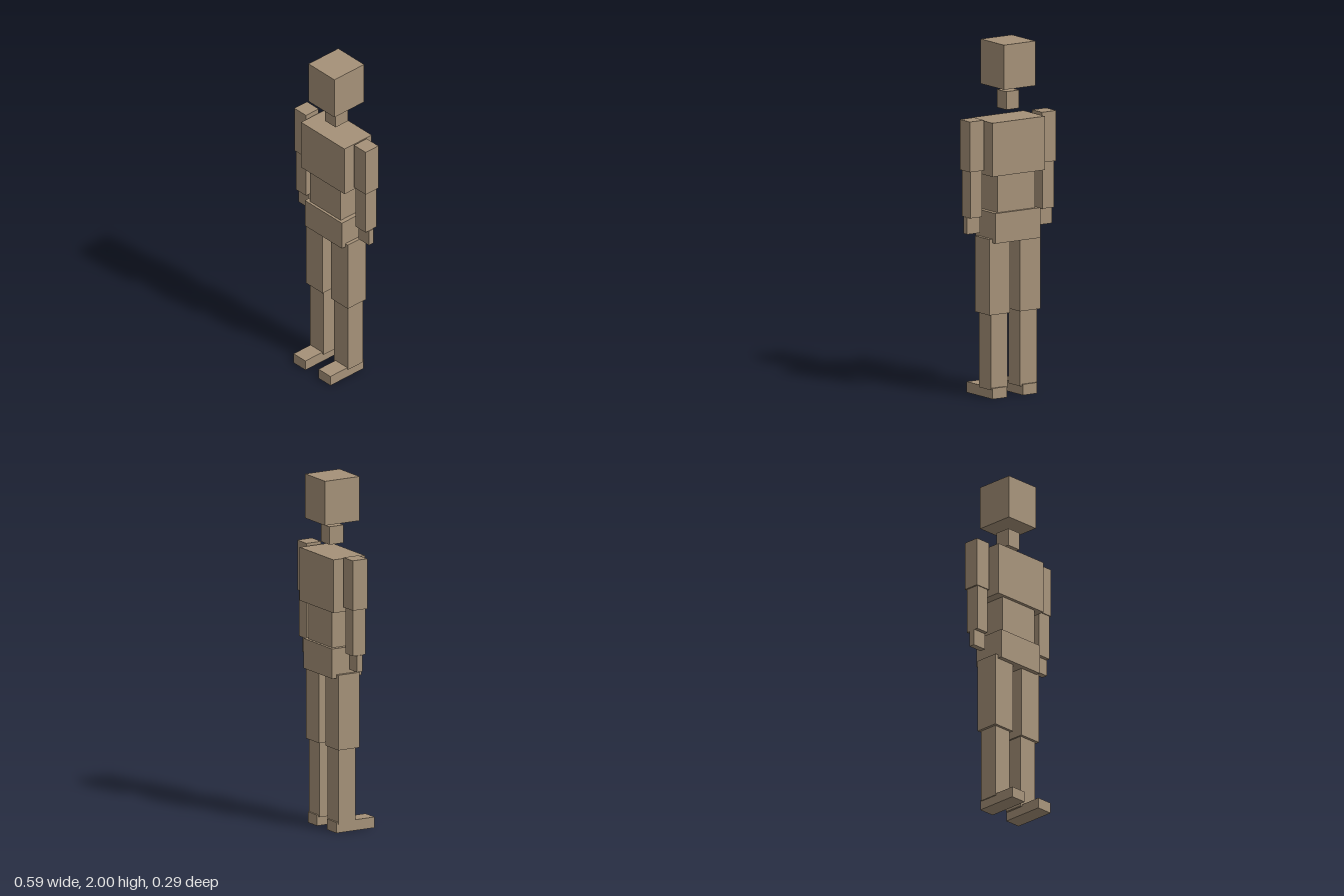
import * as THREE from 'three';

export function createModel() {
  const model = new THREE.Group();
  model.name = 'blockMannequin';

  const tan = new THREE.MeshStandardMaterial({ color: 0xa59178 });
  tan.name = 'tan';

  // Box given by its extents along each axis
  function block(name, [x0, x1], [y0, y1], [z0, z1]) {
    const mesh = new THREE.Mesh(new THREE.BoxGeometry(x1 - x0, y1 - y0, z1 - z0), tan);
    mesh.position.set((x0 + x1) / 2, (y0 + y1) / 2, (z0 + z1) / 2);
    mesh.name = name;
    model.add(mesh);
  }

  // Head and torso: half width, height range, depth range
  const central = [
    ['head', 0.106, [1.748, 2], [-0.148, 0.075]],
    ['neck', 0.044, [1.618, 1.72], [-0.082, 0.009]],
    ['chest', 0.178, [1.263, 1.566], [-0.139, 0.065]],
    ['abdomen', 0.126, [1.052, 1.263], [-0.115, 0.046]],
    ['pelvis', 0.152, [0.882, 1.052], [-0.131, 0.061]],
  ];
  for (const [name, half, y, z] of central) block(name, [-half, half], y, z);

  // Arms and legs: inner and outer x, height range, depth range
  const limbs = [
    ['UpperArm', [0.197, 0.293], [1.293, 1.577], [-0.084, 0.011]],
    ['Forearm', [0.204, 0.284], [1.031, 1.293], [-0.077, 0.005]],
    ['Hand', [0.202, 0.288], [0.937, 1.031], [-0.052, -0.017]],
    ['Thigh', [0.034, 0.172], [0.475, 0.903], [-0.103, 0.035]],
    ['Shin', [0.043, 0.157], [0.05, 0.475], [-0.093, 0.019]],
    ['Foot', [0.054, 0.151], [0, 0.061], [-0.103, 0.146]],
  ];
  for (const [name, [inner, outer], y, z] of limbs) {
    block('left' + name, [inner, outer], y, z);
    block('right' + name, [-outer, -inner], y, z);
  }
  return model;
}
